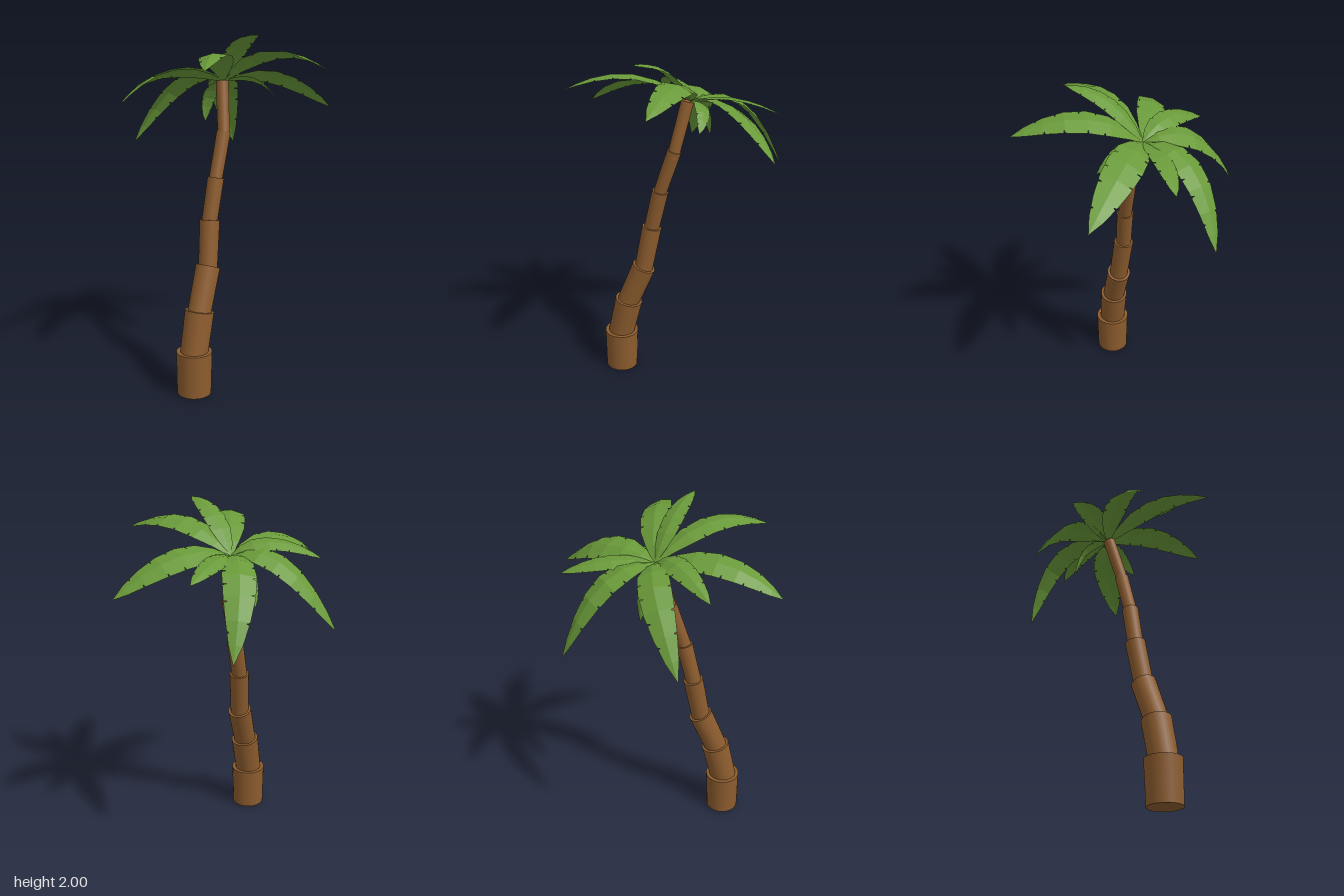
import * as THREE from 'three';

const bark = new THREE.MeshStandardMaterial({ color: 0x8c5c2e });
const green = new THREE.MeshStandardMaterial({ color: 0x6a9a3a, side: THREE.DoubleSide, flatShading: true });
const V = (x, y, z) => new THREE.Vector3(x, y, z);

// Trunk joints: centre, and radius of the segment that starts there
const joints = [
  [0.032, 0, 0.355, 0.102], [0.031, 0.25, 0.35, 0.083], [0.03, 0.475, 0.297, 0.07],
  [0.018, 0.712, 0.2, 0.057], [-0.003, 0.97, 0.153, 0.047], [0, 1.205, 0.098, 0.04],
  [-0.005, 1.455, 0.015, 0.036], [-0.058, 1.73, -0.045, 0],
];

// Fronds: midrib middle point, tip, half width
const fronds = [
  [[0.10, 1.76, -0.34], [0.34, 1.56, -0.60], 0.096],
  [[0.25, 1.90, -0.075], [0.625, 1.82, -0.025], 0.086],
  [[0.10, 1.93, 0.03], [0.305, 1.995, 0.14], 0.064],
  [[0.10, 1.90, 0.23], [0.265, 1.83, 0.545], 0.085],
  [[-0.20, 1.795, 0.28], [-0.26, 1.63, 0.60], 0.082],
  [[-0.24, 1.80, 0.06], [-0.47, 1.70, 0.23], 0.064],
  [[-0.36, 1.715, -0.05], [-0.625, 1.35, 0.08], 0.088],
  [[-0.25, 1.69, -0.32], [-0.33, 1.30, -0.54], 0.09],
  [[-0.10, 1.755, -0.30], [-0.10, 1.68, -0.555], 0.062],
  [[-0.19, 1.66, -0.11], [-0.245, 1.48, -0.13], 0.045],
  [[0.08, 1.745, -0.165], [0.215, 1.64, -0.18], 0.045],
];
const crown = V(-0.06, 1.73, -0.06);
// The whole crown tips over with the leaning trunk
const crownAxis = V(-0.28, 1, -0.3).normalize();

// Straight segment, a little wider on top, its foot sunk into the one below
function trunkSegment(a, b, sink) {
  const from = V(a[0], a[1], a[2]), axis = V(b[0], b[1], b[2]).sub(from);
  const length = axis.length() + sink;
  axis.normalize();
  const mesh = new THREE.Mesh(new THREE.CylinderGeometry(a[3], a[3] * 0.95, length, 24), bark);
  mesh.position.copy(from).addScaledVector(axis, length / 2 - sink);
  mesh.quaternion.setFromUnitVectors(V(0, 1, 0), axis);
  return mesh;
}

// Relative blade width along the midrib
const outline = [[0, 0.08], [0.13, 0.55], [0.29, 0.92], [0.47, 1], [0.64, 0.92], [0.79, 0.7], [0.91, 0.4], [1, 0]];

// Midrib point, direction and blade width at t; the midrib is straight between outline stations
function section(curve, t) {
  let i = 1;
  while (i < outline.length - 1 && t > outline[i][0]) i++;
  const [t0, w0] = outline[i - 1], [t1, w1] = outline[i];
  const f = (t - t0) / (t1 - t0);
  const rib = curve.getPoint(t0).lerp(curve.getPoint(t1), f);
  return { rib, tangent: curve.getTangent(t), width: w0 + (w1 - w0) * f };
}

// Folded blade: two strips sloping gently down from the midrib, with narrow slits in the edges
function frondGeometry(mid, tip, half, seed) {
  const m = V(...mid), end = V(...tip);
  const control = m.multiplyScalar(2).addScaledVector(crown, -0.5).addScaledVector(end, -0.5);
  const curve = new THREE.QuadraticBezierCurve3(crown, control, end);
  const positions = [];
  for (const s of [-1, 1]) {
    const stations = outline.map(([t]) => [t, 1]);
    for (let k = 0; k < 4; k++) {
      const t = 0.35 + k * 0.15 + s * 0.025 + ((seed * 7 + k * 3) % 5) * 0.008;
      stations.push([t - 0.006, 1], [t, 0.74], [t + 0.006, 1]);
    }
    stations.sort((a, b) => a[0] - b[0]);
    const rows = stations.map(([t, cut]) => {
      const { rib, tangent, width } = section(curve, t);
      const side = tangent.clone().cross(crownAxis).normalize();
      const up = side.clone().cross(tangent).normalize();
      const w = half * width * cut;
      return [rib, rib.clone().addScaledVector(side, s * w).addScaledVector(up, -0.2 * w)];
    });
    for (let i = 0; i < rows.length - 1; i++) {
      const [a, b] = rows[i], [c, d] = rows[i + 1];
      const corners = s > 0 ? [a, b, d, a, d, c] : [a, d, b, a, c, d];
      corners.forEach(p => positions.push(p.x, p.y, p.z));
    }
  }
  const geometry = new THREE.BufferGeometry();
  geometry.setAttribute('position', new THREE.Float32BufferAttribute(positions, 3));
  geometry.computeVertexNormals();
  return geometry;
}

export function createModel() {
  const model = new THREE.Group();
  model.name = 'palmTree';

  const trunk = new THREE.Group();
  trunk.name = 'trunk';
  for (let i = 0; i < joints.length - 1; i++) {
    const segment = trunkSegment(joints[i], joints[i + 1], i ? 0.04 : 0);
    segment.name = `trunkSegment${i + 1}`;
    trunk.add(segment);
  }

  const leaves = new THREE.Group();
  leaves.name = 'fronds';
  fronds.forEach(([mid, tip, half], i) => {
    const frond = new THREE.Mesh(frondGeometry(mid, tip, half, i), green);
    frond.name = `frond${i + 1}`;
    leaves.add(frond);
  });

  model.add(trunk, leaves);
  return model;
}
